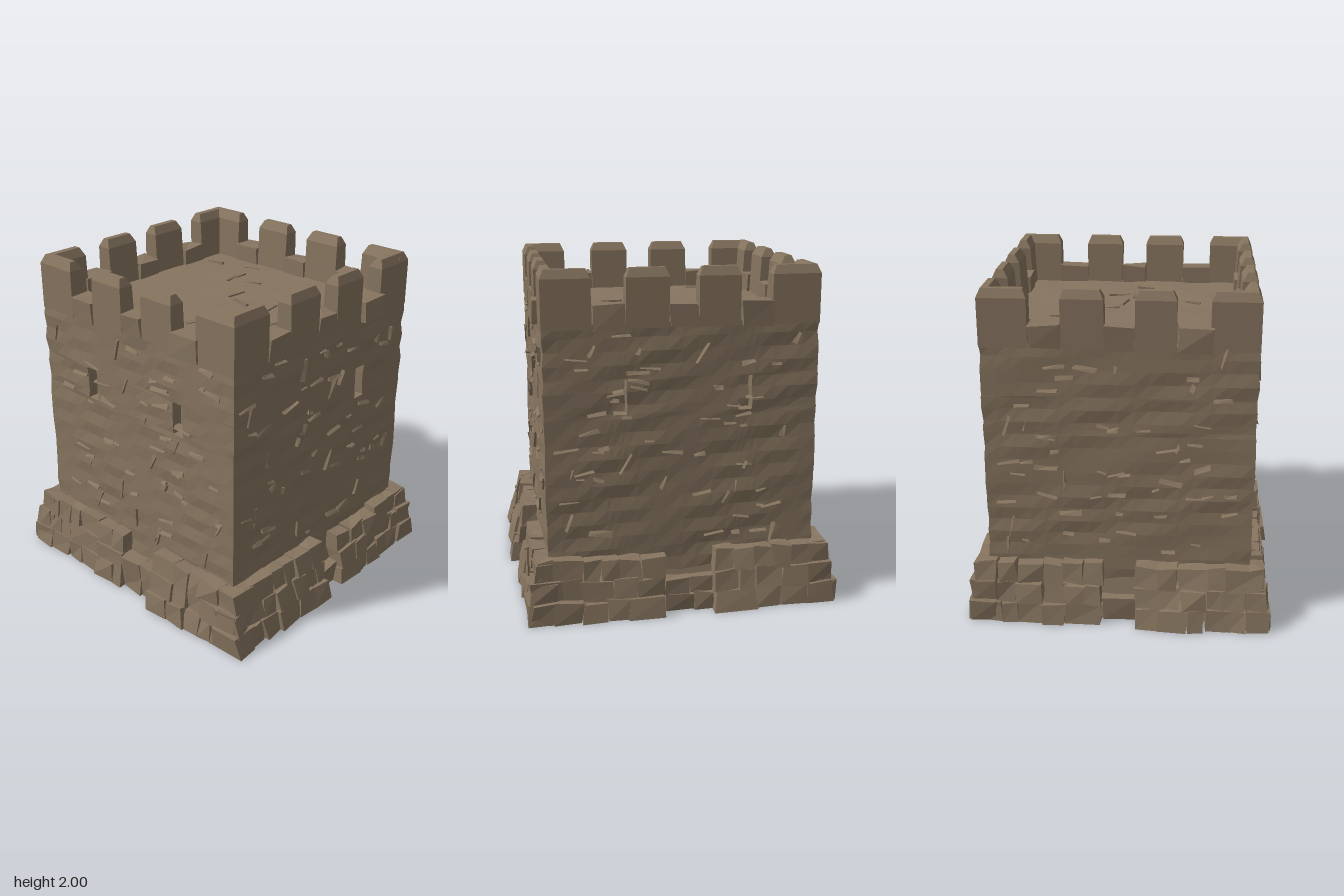
import * as THREE from 'three';
import { mergeGeometries } from 'three/addons/utils/BufferGeometryUtils.js';

const HALF = 0.785;   // half width of the tower shaft
const FLOOR = 1.7;    // roof deck height
const SKIRT = 0.36;   // height of the stone footing
const lerp = THREE.MathUtils.lerp;

let seed = 7;
const rnd = () => {
  seed = (seed * 16807) % 2147483647;
  return seed / 2147483647;
};
const jit = (a) => (rnd() * 2 - 1) * a;

// Moves every vertex of a geometry by a rule
function reshape(geo, rule) {
  const p = geo.attributes.position;
  const v = new THREE.Vector3();
  for (let i = 0; i < p.count; i++) {
    v.fromBufferAttribute(p, i);
    rule(v);
    p.setXYZ(i, v.x, v.y, v.z);
  }
  return geo;
}

// Rough six-sided stone; x runs along the wall, z is the distance outward
function stone(s0, s1, y0, y1, rIn, rBottom, rTop, rough = 0) {
  const shift = Array.from({ length: 8 }, () => [jit(rough), jit(rough), jit(rough)]);
  return reshape(new THREE.BoxGeometry(1, 1, 1), (v) => {
    const top = v.y > 0, out = v.z > 0;
    const d = shift[(v.x > 0 ? 1 : 0) + (top ? 2 : 0) + (out ? 4 : 0)];
    v.x = (v.x > 0 ? s1 : s0) + d[0];
    v.y = top ? y1 + d[1] : Math.max(0, y0 + (y0 > 0 ? d[1] : 0));
    v.z = out ? (top ? rTop : rBottom) + d[2] : rIn;
  });
}

// Merlon with a bevelled top
function merlon(s0, s1) {
  const lean = [jit(0.006), jit(0.006)];
  return reshape(new THREE.BoxGeometry(1, 1, 1, 1, 2, 1), (v) => {
    const cap = v.y > 0.4, foot = v.y < -0.4, right = v.x > 0;
    v.x = right ? s1 - (cap ? 0.022 : 0) : s0 + (cap ? 0.022 : 0);
    if (Math.abs(v.x) < 0.7 && !foot) v.x += lean[right ? 1 : 0];
    if (v.z > 0) v.z = cap ? 0.765 : HALF + 0.003;
    else v.z = cap ? 0.725 : foot ? 0.68 : 0.695;
    v.y = cap ? 2 : foot ? FLOOR - 0.03 : 1.95;
  });
}

// Gentle unevenness of the masonry, continuous round the corners
function weather(v) {
  const n = Math.sin(v.y * 23 + v.x * 5) * Math.sin(v.z * 9 + v.y * 11 + 1) + 0.6 * Math.sin(v.x * 13 + v.y * 37 - v.z * 7);
  v.x += 0.005 * n * Math.sign(v.x) * Math.min(1, Math.abs(v.x) * 1.3);
  v.z += 0.005 * n * Math.sign(v.z) * Math.min(1, Math.abs(v.z) * 1.3);
}

// Shaft wall as a grid, pushed inward at the window slits
function wall(windows) {
  const xs = [], ys = [1.183, 1.188, 1.378, 1.383];
  for (let i = 0; i <= 18; i++) xs.push(lerp(-HALF, HALF, i / 18));
  for (let i = 0; i <= 22; i++) ys.push((FLOOR * i) / 22);
  for (const w of windows) xs.push(w - 0.04, w - 0.035, w + 0.035, w + 0.04);
  xs.sort((a, b) => a - b);
  ys.sort((a, b) => a - b);
  const nx = xs.length - 1, ny = ys.length - 1;
  return reshape(new THREE.PlaneGeometry(1, 1, nx, ny), (v) => {
    v.x = xs[Math.round((v.x + 0.5) * nx)];
    v.y = ys[Math.round((v.y + 0.5) * ny)];
    const inside = windows.some((w) => Math.abs(v.x - w) < 0.038) && v.y > 1.185 && v.y < 1.381;
    v.z = HALF - (inside ? 0.06 : 0);
  });
}

// Thin chipped ledges scattered over a wall
function chips(count) {
  const list = [];
  for (let i = 0; i < count; i++) {
    const w = 0.02 + rnd() * 0.05, h = 0.008 + rnd() * 0.02;
    const chip = stone(-w, w, 1, 1 + h, HALF - 0.03, HALF + 0.014, HALF - 0.004, 0.006);
    chip.translate(0, -1, 0).rotateZ(rnd() < 0.2 ? 1.3 + jit(0.3) : jit(0.25));
    list.push(chip.translate(jit(0.68), 0.42 + rnd() * 1.22, 0));
  }
  return list;
}

// Footing stones laid in leaning courses; each run is [start, end, reach, height]
function footing(runs) {
  const list = [];
  for (const [a, b, reach, height] of runs) {
    const courses = Math.max(1, Math.round(height / 0.12));
    for (let c = 0; c < courses; c++) {
      const y0 = (c * height) / courses, y1 = ((c + 1) * height) / courses;
      const limit = lerp(0.94, 0.86, y1 / SKIRT);
      let s = Math.max(a, -limit);
      const end = Math.min(b, limit);
      while (s < end - 0.01) {
        let e = s + 0.09 + rnd() * 0.1;
        if (end - e < 0.07) e = end;
        const off = jit(0.012);
        const at = (y) => lerp(reach, Math.min(reach, 0.85), y / SKIRT) + off;
        list.push(stone(s, e, y0, y1 + 0.005, 0.74, at(y0), at(y1) + 0.008, 0.013));
        s = e;
      }
    }
  }
  return list;
}

// Sides in order front, right, back, left
const SIDES = [
  { angle: 0, windows: [-0.36, 0.36], runs: [[-0.94, -0.3, 0.91, 0.36], [-0.3, -0.08, 0.91, 0.36], [-0.08, 0.2, 0.88, 0.22], [0.2, 0.5, 0.93, 0.36], [0.5, 0.94, 0.91, 0.36]] },
  { angle: Math.PI / 2, windows: [0.35], runs: [[-0.94, -0.53, 0.94, 0.36], [-0.53, -0.07, 0.97, 0.36], [-0.07, 0.1, 0.85, 0.13], [0.1, 0.5, 0.93, 0.32], [0.5, 0.94, 0.9, 0.35]] },
  { angle: Math.PI, windows: [-0.36, 0.36], runs: [[-0.94, -0.6, 0.91, 0.36], [-0.6, -0.12, 0.93, 0.34], [-0.12, 0.18, 0.86, 0.2], [0.18, 0.42, 0.94, 0.36], [0.42, 0.94, 0.91, 0.36]] },
  { angle: -Math.PI / 2, windows: [], runs: [[-0.94, -0.45, 0.91, 0.36], [-0.45, -0.1, 0.93, 0.36], [-0.1, 0.1, 0.85, 0.15], [0.1, 0.52, 0.97, 0.36], [0.52, 0.94, 0.94, 0.36]] },
];
const MERLONS = [[-0.788, -0.51], [-0.325, -0.08], [0.09, 0.325], [0.51, 0.788]];
const SILLS = [[-0.505, -0.33], [-0.075, 0.085], [0.33, 0.52]];

export function createModel() {
  seed = 7;
  const root = new THREE.Group();
  root.name = 'tower';
  const body = new THREE.Group();
  body.name = 'masonry';
  body.scale.z = 0.985;
  root.add(body);

  const rock = new THREE.MeshStandardMaterial({ color: 0x86745f, flatShading: true });
  rock.name = 'brown stone';

  const add = (name, geos) => {
    const merged = mergeGeometries(geos.map((g) => (g.index ? g.toNonIndexed() : g)));
    merged.computeVertexNormals();
    const mesh = new THREE.Mesh(merged, rock);
    mesh.name = name;
    body.add(mesh);
  };

  const parts = { walls: [], wallChips: [], merlons: [], crenelSills: [], footingStones: [] };
  for (const { angle, windows, runs } of SIDES) {
    const side = {
      walls: [wall(windows)],
      wallChips: chips(55),
      merlons: MERLONS.map(([a, b]) => merlon(a, b)),
      crenelSills: SILLS.map(([a, b], i) => {
        const out = (i === 2 ? 0.825 : 0.805) + jit(0.006);
        return stone(a, b, 1.67, 1.805, 0.67, out - 0.012, out - 0.008, 0.01);
      }),
      footingStones: footing(runs),
    };
    for (const key in parts) parts[key].push(...side[key].map((g) => g.rotateY(angle)));
  }
  parts.walls.forEach((g) => reshape(g, weather));
  for (const key in parts) add(key, parts[key]);

  // Roof deck, slightly uneven
  const deck = new THREE.PlaneGeometry(HALF * 2 - 0.01, HALF * 2 - 0.01, 12, 12).rotateX(-Math.PI / 2);
  reshape(deck, (v) => { v.y = FLOOR + 0.005 * Math.sin(v.x * 11 + v.z * 4) * Math.sin(v.z * 9); });
  const slabs = [];
  for (let i = 0; i < 14; i++) {
    const w = 0.03 + rnd() * 0.04;
    const slab = stone(-w, w, 1, 1.012, -0.01, 0.01, 0.01, 0.006).translate(0, -1, 0);
    slabs.push(slab.rotateY(rnd() < 0.5 ? jit(0.3) : 1.5 + jit(0.3)).translate(jit(0.58), FLOOR - 0.002, jit(0.58)));
  }
  add('roofDeck', [deck, ...slabs]);

  // Solid core behind the footing stones, closing the underside
  const core = reshape(new THREE.BoxGeometry(1, 0.3, 1), (v) => {
    const half = v.y > 0 ? 0.77 : 0.84;
    v.set(Math.sign(v.x) * half, v.y + 0.15, Math.sign(v.z) * half);
  });
  add('footingCore', [core]);

  return root;
}
